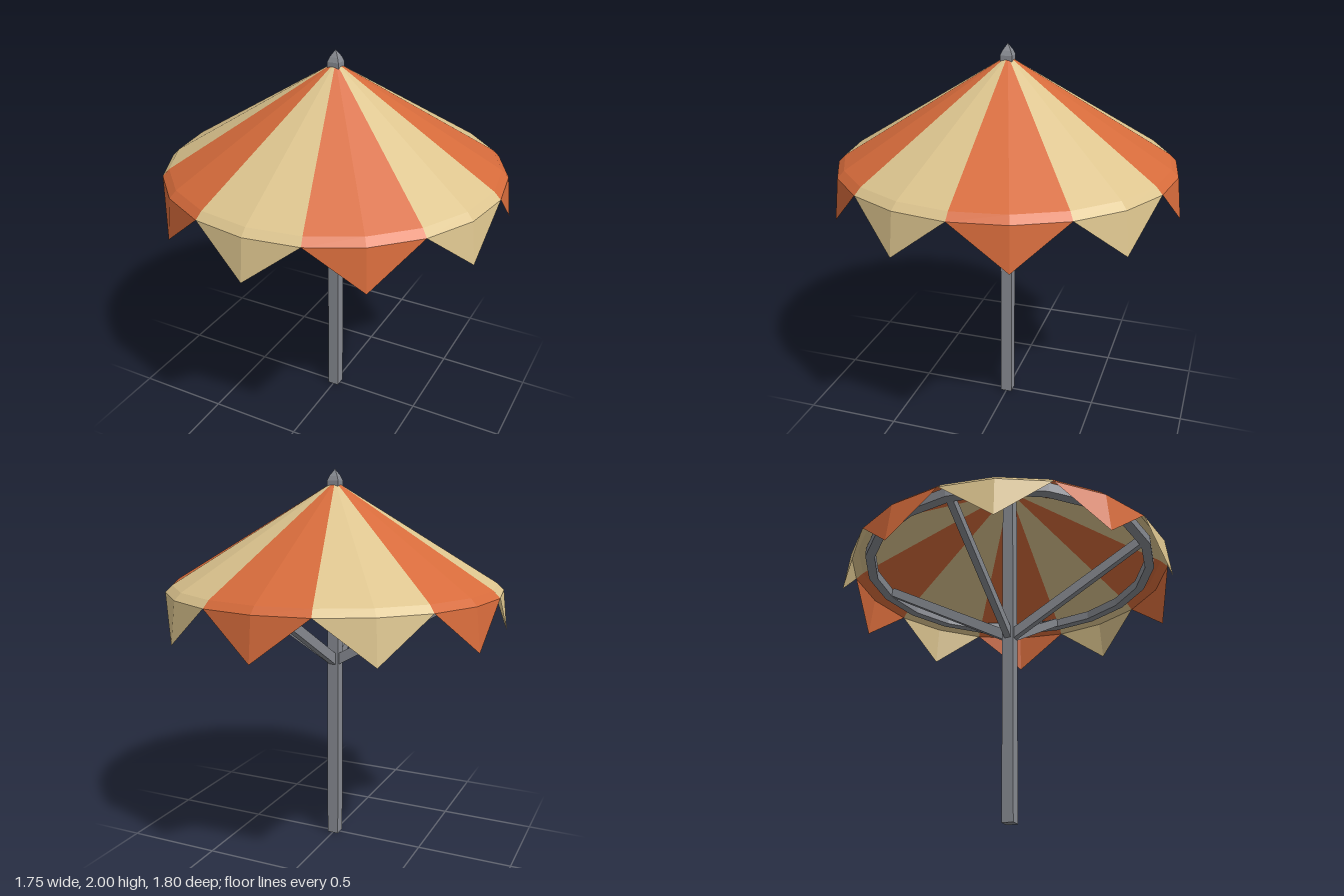
import * as THREE from 'three';

const STEP = Math.PI / 10; // the canopy has 20 sides, two per panel

// Point on a circle of radius r at corner number i
const at = (r, y, i) => [r * Math.cos(i * STEP), y, r * Math.sin(i * STEP)];

// Flat-shaded geometry from a list of triangles
function facets(triangles) {
  const geo = new THREE.BufferGeometry();
  geo.setAttribute('position', new THREE.Float32BufferAttribute(triangles.flat(2), 3));
  geo.computeVertexNormals();
  return geo;
}

export function createModel() {
  const cream = new THREE.MeshStandardMaterial({ color: 0xdcc48e, side: THREE.DoubleSide });
  const orange = new THREE.MeshStandardMaterial({ color: 0xd66b3b, side: THREE.DoubleSide });
  const grey = new THREE.MeshStandardMaterial({ color: 0x888b92, flatShading: true });
  cream.name = 'creamCloth';
  orange.name = 'orangeCloth';
  grey.name = 'greyMetal';

  const model = new THREE.Group();
  model.name = 'parasol';
  const add = (name, geo, mat, parent = model) => {
    const mesh = new THREE.Mesh(geo, mat);
    mesh.name = name;
    parent.add(mesh);
    return mesh;
  };

  // Canopy: ten panels, each with a bent rim and a hanging pointed flap
  const canopy = new THREE.Group();
  canopy.name = 'canopy';
  model.add(canopy);
  for (let p = 0; p < 10; p++) {
    const tip = at(0.9, 1.18, p * 2 + 1);
    const tris = [];
    for (const i of [p * 2, p * 2 + 1]) {
      const a = at(0.84, 1.43, i), b = at(0.84, 1.43, i + 1);
      const c = at(0.875, 1.395, i), d = at(0.875, 1.395, i + 1);
      tris.push([[0, 1.94, 0], b, a], [a, b, d], [a, d, c], [c, d, tip]);
    }
    add('panel' + (p + 1), facets(tris), p % 2 ? orange : cream, canopy);
  }

  // Square pole
  add('pole', new THREE.BoxGeometry(0.062, 1.92, 0.062).translate(0, 0.96, 0), grey);

  // Finial: square block tapering to a point
  const profile = [[0, 1.92], [0.031, 1.92], [0.031, 1.942], [0.022, 1.965], [0, 2]]
    .map(([x, y]) => new THREE.Vector2(x * Math.SQRT2, y));
  add('finial', new THREE.LatheGeometry(profile, 4, Math.PI / 4), grey);

  // Support ring under the canopy, square in section
  const section = [[0.75, 1.39], [0.8, 1.39], [0.8, 1.44], [0.75, 1.44], [0.75, 1.39]]
    .map(([x, y]) => new THREE.Vector2(x, y));
  add('supportRing', new THREE.LatheGeometry(section, 20), grey);

  // Four slanted struts from pole to ring
  const side = new THREE.Shape(
    [[0.028, 0.98], [0.76, 1.4], [0.76, 1.438], [0.73, 1.438], [0.028, 1.042]]
      .map(([x, y]) => new THREE.Vector2(x, y)));
  const strutGeo = new THREE.ExtrudeGeometry(side, { depth: 0.036, bevelEnabled: false })
    .translate(0, 0, -0.018);
  for (let k = 0; k < 4; k++) {
    add('strut' + (k + 1), strutGeo, grey).rotation.y = k * Math.PI / 2;
  }

  return model;
}
